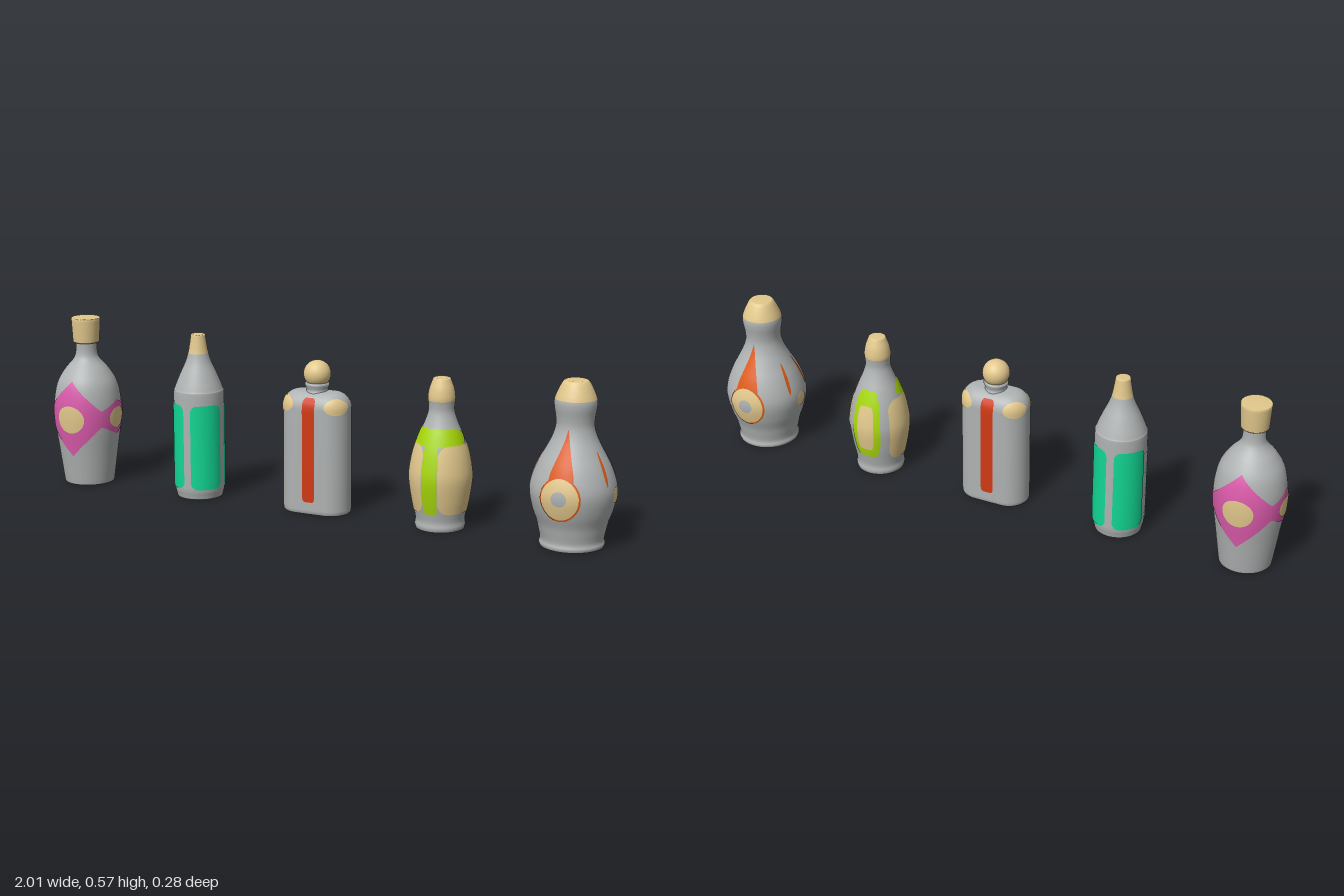
import * as THREE from 'three';
import { ParametricGeometry } from 'three/addons/geometries/ParametricGeometry.js';

const mat = (name, color) => {
  const m = new THREE.MeshStandardMaterial({ color });
  m.name = name;
  return m;
};
const M = {
  gray: mat('gray glaze', 0xb0b3b3),
  tan: mat('tan', 0xe2c88c),
  pink: mat('pink', 0xdc5cac),
  teal: mat('teal', 0x12d894),
  red: mat('red', 0xd03a14),
  lime: mat('lime', 0xa8d80a),
  orange: mat('orange', 0xdc5a12),
};
const D = Math.PI / 180;

function add(parent, name, geometry, material) {
  const mesh = new THREE.Mesh(geometry, material);
  mesh.name = name;
  parent.add(mesh);
  return mesh;
}

// Smooth profile through [radius, height] pairs
const smooth = (pts) => new THREE.SplineCurve(pts.map((p) => new THREE.Vector2(...p))).getPoints(70);
const lathe = (pts) => new THREE.LatheGeometry(pts, 48);
const V = (x, y) => new THREE.Vector2(x, y);

// Radius of a sampled profile at a height
function radiusAt(pts, y) {
  for (let i = 1; i < pts.length; i++) {
    if (pts[i].y >= y) {
      const a = pts[i - 1], b = pts[i];
      const t = THREE.MathUtils.clamp((y - a.y) / (b.y - a.y || 1), 0, 1);
      return a.x + (b.x - a.x) * t;
    }
  }
  return pts[pts.length - 1].x;
}

// Bottle body with closed bottom; everything above "split" is a tan cap
function bottle(root, name, x, pts, split = 9) {
  const g = new THREE.Group();
  g.name = name;
  g.position.x = x;
  root.add(g);
  const r0 = pts[0].x, rs = radiusAt(pts, split);
  const low = pts.filter((p) => p.y < split), high = pts.filter((p) => p.y > split);
  const join = high.length ? [V(rs, split)] : [];
  add(g, 'body', lathe([V(0, 0), V(r0 * 0.97, 0), ...low, ...join]), M.gray);
  if (high.length) {
    const top = high[high.length - 1];
    add(g, 'cap', lathe([...join, ...high, V(top.x * 0.9, top.y + 0.002), V(0, top.y + 0.002)]), M.tan);
  }
  // Point on the round surface
  g.userData.surf = (a, y, off, t) => {
    const r = radiusAt(pts, y) + off;
    t.set(Math.sin(a) * r, y, Math.cos(a) * r);
  };
  return g;
}

// Thin painted patch: centre c, half width w, heights lo(u)..hi(u) for u in -1..1
function paint(g, name, material, c, w, [lo, hi], off = 0.002, surf = g.userData.surf) {
  const geo = new ParametricGeometry((s, v, t) => {
    const u = s * 2 - 1;
    surf(c + u * w, THREE.MathUtils.lerp(lo(u), hi(u), v), off, t);
  }, 28, 24);
  geo.computeVertexNormals();
  return add(g, name, geo, material);
}
const oval = (y, h) => {
  const k = (u) => h * Math.sqrt(1 - 0.98 * u * u);
  return [(u) => y - k(u), (u) => y + k(u)];
};
const panel = (y0, y1, r = 0.02) => [(u) => y0 + r * u ** 8, (u) => y1 - r * u ** 8];

export function createModel() {
  const root = new THREE.Group();
  root.name = 'bottleSet';

  // Shouldered vase bottle with pink diamonds
  const vase = bottle(root, 'vaseBottle', -0.888, smooth([
    [0.084, 0], [0.087, 0.015], [0.1, 0.11], [0.111, 0.19], [0.115, 0.25], [0.112, 0.3],
    [0.1, 0.35], [0.075, 0.392], [0.047, 0.425], [0.037, 0.45], [0.036, 0.495]]));
  add(vase, 'stopper', lathe([V(0, 0.485), V(0.042, 0.485), V(0.045, 0.488), V(0.049, 0.56),
    V(0.0495, 0.567), V(0.047, 0.57), V(0, 0.57)]), M.tan);
  for (let k = 0; k < 4; k++) {
    const front = k % 2 === 0;
    const tall = front ? 0.13 : 0.06, wide = (front ? 55 : 35) * D;
    const h = (u) => Math.max(0.028, tall * (1 - Math.abs(u) * (front ? 0.8 : 0.55)));
    paint(vase, 'diamond', M.pink, k * 90 * D, wide, [(u) => 0.235 - h(u), (u) => 0.235 + h(u)]);
    paint(vase, 'diamondDot', M.tan, k * 90 * D, (front ? 25 : 20) * D, oval(0.235, front ? 0.047 : 0.036), 0.004);
  }

  // Tall straight bottle with four teal panels
  const tall = bottle(root, 'tallBottle', -0.452, smooth([
    [0.076, 0], [0.079, 0.012], [0.083, 0.03], [0.084, 0.06], [0.084, 0.2], [0.084, 0.345],
    [0.08, 0.37], [0.062, 0.415], [0.044, 0.455], [0.034, 0.487], [0.028, 0.52], [0.024, 0.548]]), 0.487);
  for (let k = 0; k < 4; k++) {
    paint(tall, 'panel', M.teal, (45 + k * 90) * D, 36.5 * D, panel(0.035, 0.322));
  }

  // Flat flask: a round profile stretched sideways into a stadium
  const stretch = 0.048;
  const flaskPts = [V(0.063, 0), V(0.067, 0.005), V(0.068, 0.015), V(0.068, 0.2), V(0.068, 0.35)];
  for (let i = 1; i <= 10; i++) {
    const a = i * 9 * D;
    flaskPts.push(V(0.018 + 0.05 * Math.cos(a), 0.35 + 0.053 * Math.sin(a)));
  }
  const flask = bottle(root, 'flaskBottle', -0.013, [...flaskPts, V(0, 0.404)]);
  const bodyGeo = flask.children[0].geometry, pos = bodyGeo.attributes.position;
  const count = bodyGeo.parameters.points.length;
  for (let i = 0; i < pos.count; i++) {
    const s = Math.sin(Math.floor(i / count) / 48 * Math.PI * 2);
    if (Math.abs(s) > 0.01) pos.setX(i, pos.getX(i) + Math.sign(s) * stretch);
  }
  add(flask, 'neck', lathe([V(0.04, 0.395), V(0.036, 0.403), V(0.034, 0.41), V(0.04, 0.42),
    V(0.04, 0.428), V(0.03, 0.434)]), M.gray);
  add(flask, 'ballStopper', new THREE.SphereGeometry(0.045, 32, 20), M.tan).position.y = 0.458;
  const flatSide = (s, y, off, t) => t.set(s, y, radiusAt(flaskPts, y) + off);
  const endSide = (a, y, off, t) => {
    const r = radiusAt(flaskPts, y) + off;
    t.set(Math.sin(a) * r + Math.sign(Math.sin(a)) * stretch, y, Math.cos(a) * r);
  };
  for (const turn of [0, Math.PI]) {
    paint(flask, 'stripe', M.red, 0, 0.022, panel(0.042, 0.388, 0.015), 0.002, flatSide).rotation.y = turn;
    for (const side of [-1, 1]) {
      paint(flask, 'shoulderSpot', M.tan, turn + side * 42 * D, 36 * D, oval(0.363, 0.026), 0.002, endSide);
    }
  }

  // Small pin-shaped bottle with lime and tan panels
  const pin = bottle(root, 'pinBottle', 0.422, smooth([
    [0.078, 0], [0.081, 0.012], [0.079, 0.03], [0.083, 0.055], [0.092, 0.1], [0.1, 0.16],
    [0.098, 0.2], [0.087, 0.255], [0.07, 0.305], [0.053, 0.345], [0.042, 0.38], [0.042, 0.405],
    [0.044, 0.425], [0.04, 0.452], [0.032, 0.475], [0.028, 0.485]]), 0.415);
  paint(pin, 'collar', M.lime, 0, 100 * D, panel(0.278, 0.332));
  paint(pin, 'frontStripe', M.lime, 0, 15 * D, panel(0.06, 0.285, 0));
  for (const side of [-1, 1]) {
    paint(pin, 'sidePanel', M.tan, side * 74 * D, 58 * D, panel(0.06, 0.282, 0.03));
  }
  paint(pin, 'backFrame', M.lime, Math.PI, 30 * D, panel(0.075, 0.315, 0.05));
  paint(pin, 'backPanel', M.tan, Math.PI, 17 * D, panel(0.105, 0.265, 0.03), 0.004);

  // Large pin-shaped bottle with orange flames and ringed medallions
  const big = bottle(root, 'gourdBottle', 0.864, smooth([
    [0.1, 0], [0.103, 0.01], [0.1, 0.025], [0.106, 0.055], [0.112, 0.08], [0.126, 0.12],
    [0.136, 0.17], [0.132, 0.21], [0.114, 0.26], [0.09, 0.305], [0.07, 0.345], [0.06, 0.38],
    [0.061, 0.41], [0.066, 0.44], [0.066, 0.463], [0.056, 0.49], [0.045, 0.512], [0.038, 0.521]]), 0.465);
  for (const turn of [0, Math.PI]) {
    const flameTop = (u) => 0.22 + 0.16 * (1 - Math.abs(u)) ** 0.6;
    paint(big, 'flame', M.orange, turn, 19 * D, [() => 0.205, flameTop]);
    paint(big, 'medallionRim', M.orange, turn, 28 * D, oval(0.175, 0.071), 0.003);
    paint(big, 'medallion', M.tan, turn, 25.5 * D, oval(0.175, 0.065), 0.0045);
    paint(big, 'medallionCentre', M.gray, turn, 10 * D, oval(0.178, 0.024), 0.006);
    // Side spots and slim flame streaks
    const sideAngle = turn + Math.PI / 2;
    paint(big, 'sideSpot', M.tan, sideAngle, 10 * D, oval(0.175, 0.026));
    for (const s of [-1, 1]) {
      paint(big, 'streak', M.orange, sideAngle + s * 21 * D, 3 * D, oval(0.26, 0.052));
    }
  }
  return root;
}
